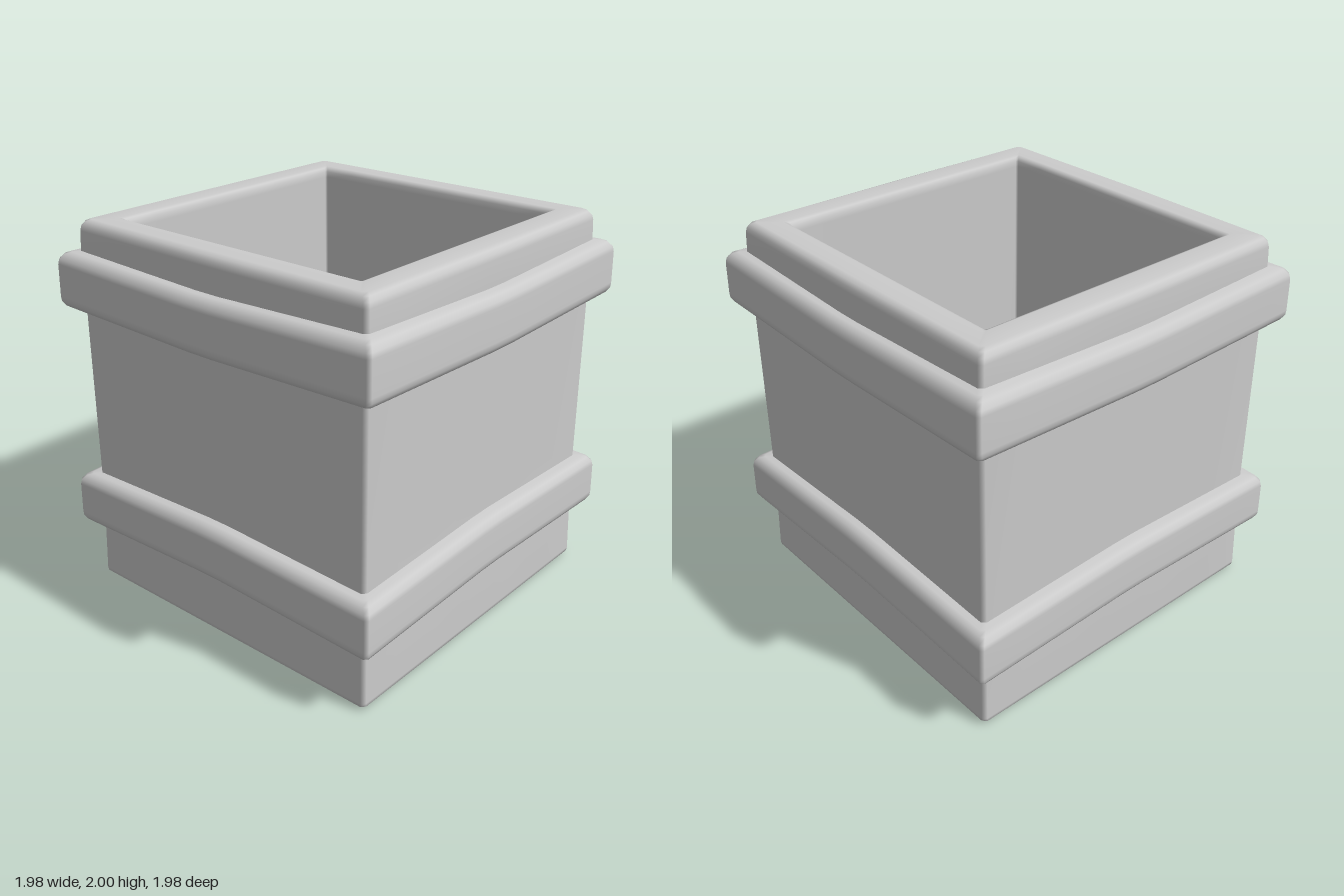
import * as THREE from 'three';

const STEPS = [-1, -0.75, -0.5, -0.25, -0.08, 0.08, 0.25, 0.5, 0.75, 1];

// One square ring with chamfered corners; the middle of each side may rise (lift) or swell (bulge).
function ringPoints({ h, y, c = 0.02, lift = 0, bulge = 0 }) {
  const points = [];
  for (let side = 0; side < 4; side++) {
    const a = side * Math.PI / 2, s = Math.round(Math.sin(a)), k = Math.round(Math.cos(a));
    for (const t of STEPS) {
      const mid = 1 - Math.abs(t);
      const u = t * (h - c), d = h + bulge * mid;
      points.push(u * k + d * s, y + lift * mid, d * k - u * s);
    }
  }
  return points;
}

// Skin a list of square rings, optionally closing the first and last ones.
function loft(name, rings, material, capped) {
  const n = STEPS.length * 4, positions = [], index = [];
  rings.forEach(r => positions.push(...ringPoints(r)));
  for (let j = 0; j < rings.length - 1; j++) {
    for (let i = 0; i < n; i++) {
      const a = j * n + i, b = j * n + (i + 1) % n;
      index.push(a, b, b + n, a, b + n, a + n);
    }
  }
  if (capped) {
    const last = (rings.length - 1) * n, centre = rings.length * n;
    positions.push(0, rings[0].y, 0, 0, rings[rings.length - 1].y, 0);
    for (let i = 0; i < n; i++) {
      const next = (i + 1) % n;
      index.push(centre, next, i, centre + 1, last + i, last + next);
    }
  }
  const geometry = new THREE.BufferGeometry();
  geometry.setAttribute('position', new THREE.Float32BufferAttribute(positions, 3));
  geometry.setIndex(index);
  geometry.computeVertexNormals();
  const mesh = new THREE.Mesh(geometry, material);
  mesh.name = name;
  return mesh;
}

// Bevelled strap around the body, bowed up or down at the middle of each side.
function band(name, y0, y1, lift, material) {
  const profile = [
    [0.87, y0], [0.945, y0], [0.975, y0 + 0.01], [0.99, y0 + 0.035],
    [0.992, y0 + 0.06], [0.99, y1 - 0.06], [0.985, y1 - 0.035], [0.965, y1 - 0.01],
    [0.94, y1], [0.87, y1 + 0.01],
  ];
  return loft(name, profile.map(([h, y]) => ({ h, y, lift, c: 0.018 })), material, false);
}

export function createModel() {
  const group = new THREE.Group();
  group.name = 'squarePlanter';
  const material = new THREE.MeshStandardMaterial({ color: 0xcccccc });

  // Hollow body: base, outer walls, rim, inner walls and floor
  group.add(loft('body', [
    { h: 0.88, y: 0 }, { h: 0.9, y: 0.004 }, { h: 0.917, y: 0.02 }, { h: 0.92, y: 0.04 },
    { h: 0.912, y: 0.34 }, { h: 0.908, y: 0.6 }, { h: 0.907, y: 1.55 },
    { h: 0.91, y: 1.8, bulge: 0.005 }, { h: 0.905, y: 1.94, bulge: 0.008 },
    { h: 0.9, y: 1.965, bulge: 0.008 }, { h: 0.885, y: 1.985, bulge: 0.008 }, { h: 0.865, y: 1.995 },
    { h: 0.765, y: 1.995, c: 0.01 }, { h: 0.748, y: 1.988, c: 0.01 },
    { h: 0.737, y: 1.97, c: 0.01 }, { h: 0.735, y: 1.94, c: 0.01 },
    { h: 0.732, y: 0.16, c: 0.01 }, { h: 0.73, y: 0.13, c: 0.01 }, { h: 0.71, y: 0.12, c: 0.01 },
  ], material, true));

  // Two straps
  group.add(band('lowerBand', 0.335, 0.62, 0.032, material));
  group.add(band('upperBand', 1.55, 1.835, -0.025, material));
  return group;
}
